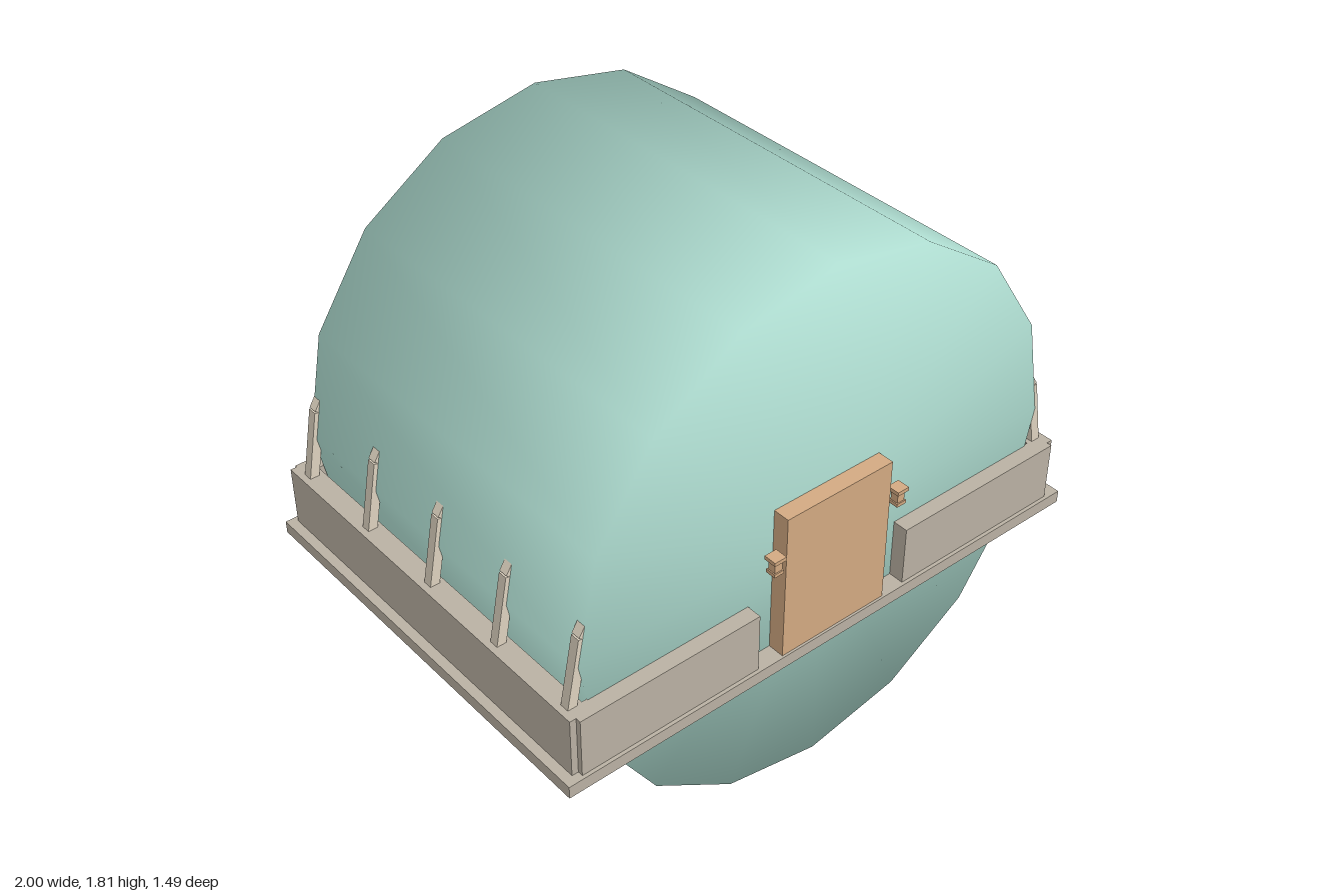
import * as THREE from 'three';
import { mergeVertices } from 'three/addons/utils/BufferGeometryUtils.js';

function mat(name, color) {
  const m = new THREE.MeshStandardMaterial({ color });
  m.name = name;
  return m;
}

export function createModel() {
  const group = new THREE.Group();
  const teal = mat('pale teal', 0xaedcd0);
  const stone = mat('warm grey stone', 0xbab1a3);
  const wood = mat('tan wood', 0xd3aa82);
  const cream = mat('cream rib', 0xddd2bf);

  // Axis-aligned box given by its min and max corners
  function box(name, material, [x0, y0, z0], [x1, y1, z1], parent = group) {
    const mesh = new THREE.Mesh(new THREE.BoxGeometry(x1 - x0, y1 - y0, z1 - z0), material);
    mesh.position.set((x0 + x1) / 2, (y0 + y1) / 2, (z0 + z1) / 2);
    mesh.name = name;
    parent.add(mesh);
    return mesh;
  }

  // Barrel body: 16-sided drum, normals smoothed across the rims
  const R = 0.905;
  let drum = new THREE.CylinderGeometry(R, R, 1.34, 16);
  drum.deleteAttribute('uv');
  drum.deleteAttribute('normal');
  drum = mergeVertices(drum, 1e-4);
  drum.rotateX(Math.PI / 2);
  const p = drum.attributes.position;
  const normals = [];
  for (let i = 0; i < p.count; i++) {
    const n = new THREE.Vector3(p.getX(i) / R, p.getY(i) / R, Math.sign(p.getZ(i))).normalize();
    normals.push(n.x, n.y, n.z);
  }
  drum.setAttribute('normal', new THREE.Float32BufferAttribute(normals, 3));
  const body = new THREE.Mesh(drum, teal);
  body.position.y = R;
  body.name = 'barrelBody';
  group.add(body);

  // Floor slab and low parapet walls
  const top = 0.77, deck = 0.563;
  box('floorSlab', stone, [-1, 0.52, -0.743], [1, deck, 0.735]);
  box('backWall', stone, [-0.945, deck, -0.73], [0.945, top, -0.675]);
  for (const s of [-1, 1]) {
    const span = (a, b) => (s > 0 ? [a, b] : [-b, -a]);
    const [f0, f1] = span(0.295, 0.945);
    box('frontWall', stone, [f0, deck, 0.665], [f1, top, 0.723]);
    const [w0, w1] = span(0.895, 0.967);
    box('sideWall', stone, [w0, deck, -0.722], [w1, top, 0.705]);

    // Small lantern beside the door: plate, post, plate
    const lantern = new THREE.Group();
    lantern.name = 'lantern';
    const lx = s * 0.243, lz = 0.722;
    for (const [h, y0, y1] of [[0.022, 0.953, 0.966], [0.014, 0.918, 0.953], [0.018, 0.906, 0.918]]) {
      box('lanternPart', wood, [lx - h, y0, lz - h], [lx + h, y1, lz + h], lantern);
    }
    group.add(lantern);
  }

  // Door
  box('door', wood, [-0.205, deck, 0.66], [0.205, 1.08, 0.727]);

  // Five arched ribs of ten straight segments each
  const steps = 10;
  for (const z of [-0.656, -0.328, 0, 0.328, 0.653]) {
    const rib = new THREE.Group();
    rib.name = 'archRib';
    const at = (i) => {
      const a = (i / steps) * Math.PI;
      return new THREE.Vector2(0.93 * Math.cos(a), top - 0.005 + 0.76 * Math.sin(a));
    };
    for (let i = 0; i < steps; i++) {
      const a = at(i), b = at(i + 1);
      const seg = new THREE.Mesh(new THREE.BoxGeometry(0.032, a.distanceTo(b), 0.032), cream);
      seg.position.set((a.x + b.x) / 2, (a.y + b.y) / 2, z);
      seg.rotation.z = Math.atan2(b.y - a.y, b.x - a.x) - Math.PI / 2;
      seg.name = 'ribSegment';
      rib.add(seg);
    }
    group.add(rib);
  }
  return group;
}
